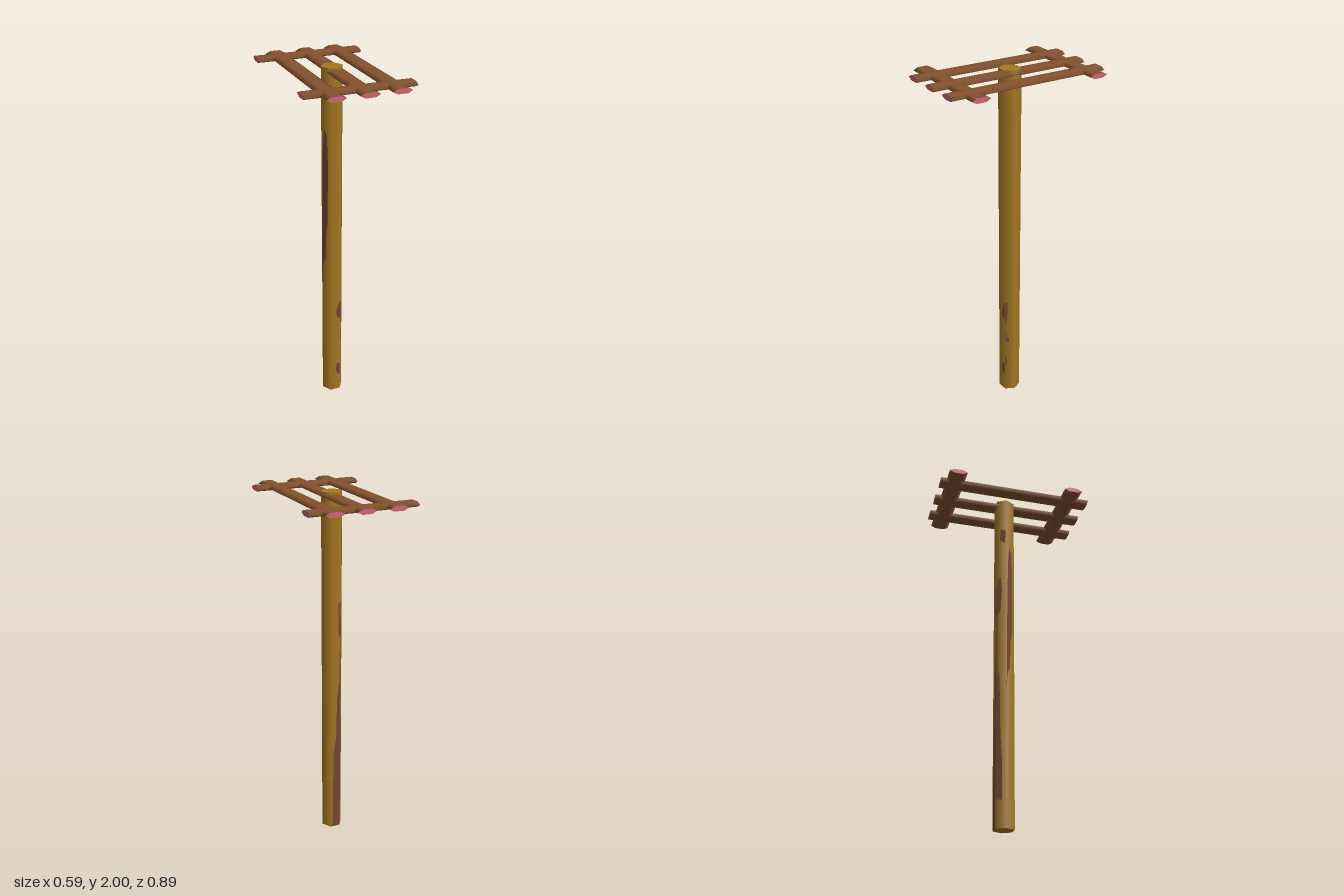
import * as THREE from 'three';

export function createModel() {
  const model = new THREE.Group();
  const mat = (name, color) => new THREE.MeshStandardMaterial({ name, color });
  const postWood = mat('ochrePostWood', 0xa67922);
  const plankWood = mat('brownPlankWood', 0x84522f);
  const cutEnd = mat('pinkCutEnd', 0xcc6677);
  const wornWood = mat('wornPatchWood', 0x704632);

  // Six-sided upright post, corners pointing to the sides
  const R = 0.06, postZ = -0.02;
  const post = new THREE.Mesh(
    new THREE.CylinderGeometry(R, R, 2, 6, 1, false, Math.PI / 6), postWood);
  post.name = 'post';
  post.position.set(0, 1, postZ);
  model.add(post);

  // Flattened six-sided planks with pink cut ends
  function plank(name, length, x, y, z, turn) {
    const geo = new THREE.CylinderGeometry(0.0525, 0.0525, length, 6, 1, false, Math.PI / 6);
    geo.rotateX(Math.PI / 2);
    geo.scale(1, 0.29, 1);
    geo.rotateY(turn);
    const mesh = new THREE.Mesh(geo, [plankWood, cutEnd, cutEnd]);
    mesh.name = name;
    mesh.position.set(x, y, z);
    model.add(mesh);
  }
  [-0.163, 0.01, 0.178].forEach((x, i) => plank('slat' + (i + 1), 0.894, x, 1.9765, -0.002, 0));
  plank('backRail', 0.588, -0.001, 1.9755, -0.365, Math.PI / 2);
  plank('frontRail', 0.588, -0.001, 1.9755, 0.326, Math.PI / 2);

  // Ragged worn patches lying on the post faces: [u across face, y up] outlines
  function patch(name, degrees, points) {
    const shape = new THREE.Shape(points.map(([u, y]) => new THREE.Vector2(u, y)));
    const geo = new THREE.ShapeGeometry(shape);
    geo.translate(0, 0, R * Math.cos(Math.PI / 6) + 0.0008);
    geo.rotateY(THREE.MathUtils.degToRad(degrees));
    const mesh = new THREE.Mesh(geo, wornWood);
    mesh.name = name;
    mesh.position.z = postZ;
    model.add(mesh);
  }
  patch('frontUpperPatch', 0, [[0.01, 0.52], [0.03, 0.5], [0.03, 0.62], [0.018, 0.6], [0.006, 0.56]]);
  patch('frontLowerPatch', 0, [[0.01, 0.12], [0.03, 0.1], [0.028, 0.18], [0.012, 0.19], [0.004, 0.15]]);
  patch('sideUpperPatch', 60, [[-0.03, 0.46], [-0.02, 0.48], [-0.012, 0.57], [-0.014, 0.62], [-0.03, 0.62]]);
  patch('sideMiddlePatch', 60, [[-0.026, 0.35], [-0.004, 0.34], [-0.004, 0.37], [-0.018, 0.38], [-0.02, 0.42], [-0.026, 0.42]]);
  patch('sideLowerPatch', 60, [[-0.03, 0.18], [-0.02, 0.18], [-0.018, 0.24], [-0.03, 0.25]]);
  patch('leftLongPatch', -60, [[-0.03, 0.78], [-0.022, 0.86], [-0.004, 0.9], [0, 1.05], [0.012, 1.12],
    [0.014, 1.5], [0.008, 1.64], [-0.01, 1.67], [-0.02, 1.55], [-0.026, 1.2]]);
  patch('backLongPatch', 180, [[-0.016, 0], [0.03, 0], [0.03, 1.42], [0.018, 1.4], [0.016, 1.24],
    [0.026, 1.2], [0.024, 0.95], [0.01, 0.84], [0.006, 0.6], [-0.01, 0.5], [-0.014, 0.25]]);
  patch('backLeftPatch', -120, [[-0.03, 0.15], [0.006, 0.15], [0.006, 0.35], [-0.004, 0.5], [-0.01, 0.84],
    [-0.022, 0.9], [-0.024, 1.22], [-0.006, 1.25], [0.002, 1.38], [-0.004, 1.47], [-0.018, 1.46], [-0.03, 1.35]]);
  patch('backLeftTopPatch', -120, [[-0.01, 1.72], [0.02, 1.7], [0.024, 1.78], [-0.008, 1.8]]);

  return model;
}
